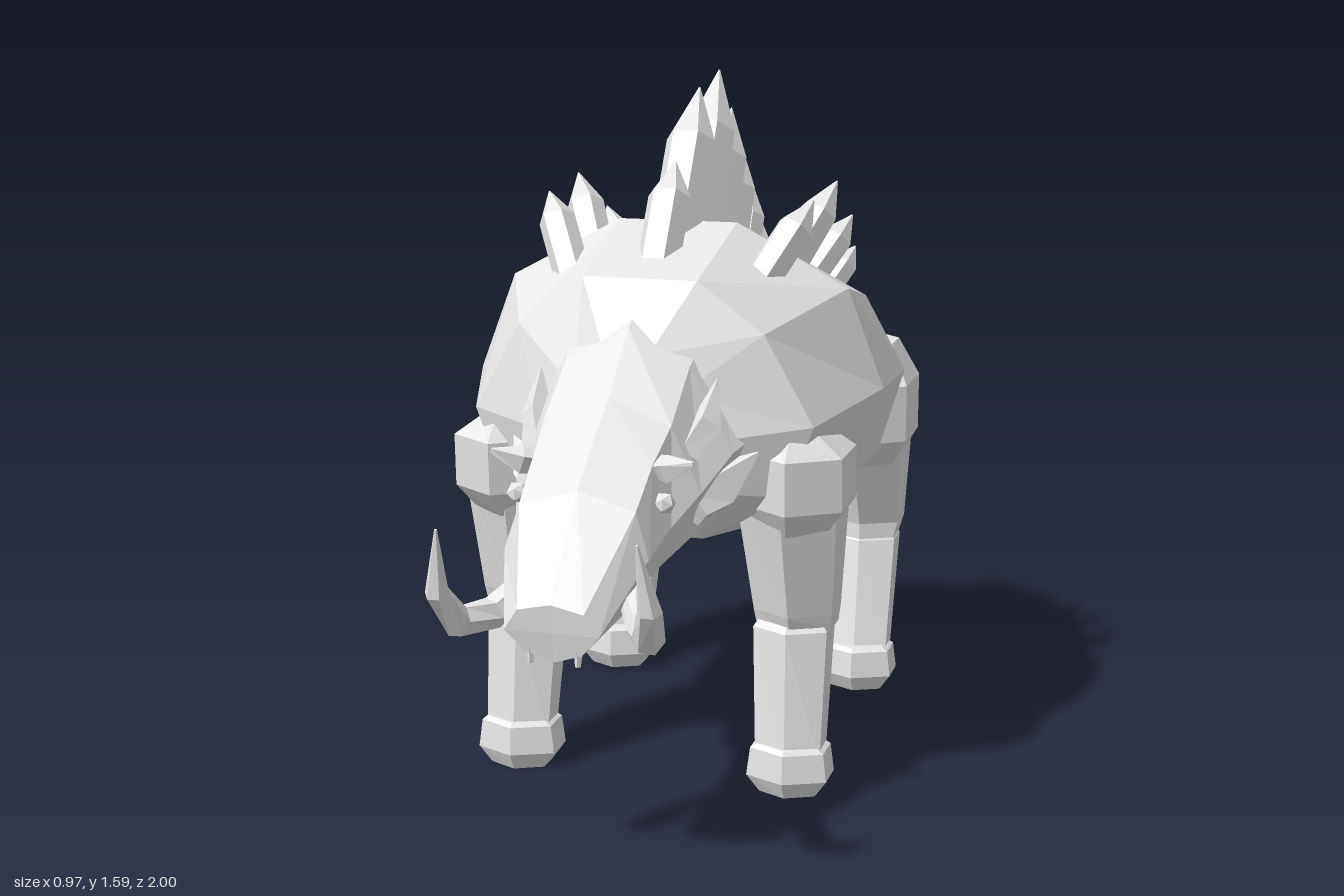
import * as THREE from 'three';

const hide = new THREE.MeshStandardMaterial({ color: 0xe7e7e7 });
hide.name = 'pale grey hide';
const V = (p) => new THREE.Vector3(...p);

// Skin a list of equal-sized rings, close both ends, flat-shade by splitting faces
function loft(name, rings) {
  const pos = [];
  const tri = (a, b, c) => pos.push(a.toArray(), b.toArray(), c.toArray());
  const n = rings[0].length;
  const mid = (r) => r.reduce((s, p) => s.add(p), new THREE.Vector3()).divideScalar(n);
  const first = rings[0], last = rings[rings.length - 1];
  const c0 = mid(first), c1 = mid(last);
  for (let j = 0; j < n; j++) {
    const k = (j + 1) % n;
    for (let i = 0; i + 1 < rings.length; i++) {
      const a = rings[i][j], b = rings[i][k], c = rings[i + 1][k], d = rings[i + 1][j];
      tri(a, b, c);
      tri(a, c, d);
    }
    tri(c0, first[k], first[j]);
    tri(c1, last[j], last[k]);
  }
  // Turn the faces outward if the enclosed volume is negative
  let volume = 0;
  for (let i = 0; i < pos.length; i += 3) {
    volume += V(pos[i]).sub(c0).dot(V(pos[i + 1]).sub(c0).cross(V(pos[i + 2]).sub(c0)));
  }
  if (volume < 0) pos.reverse();
  const g = new THREE.BufferGeometry();
  g.setAttribute('position', new THREE.Float32BufferAttribute(pos.flat(), 3));
  g.computeVertexNormals();
  const m = new THREE.Mesh(g, hide);
  m.name = name;
  return m;
}

// Complete a half ring (top to bottom, x >= 0) by mirroring it
const mirrorRing = (half) => [
  ...half.map(V),
  ...half.filter((p) => p[0] > 0).reverse().map(([x, y, z]) => V([-x, y, z])),
];

// Six-sided limb from horizontal rings: [y, centre x, centre z, half width x, half width z]
function limb(name, rows) {
  const k = 1 / Math.cos(Math.PI / 6);
  return loft(name, rows.map(([y, cx, cz, rx, rz]) =>
    Array.from({ length: 6 }, (_, i) => {
      const a = ((i + 0.5) / 6) * Math.PI * 2;
      return V([cx + Math.cos(a) * rx * k, y, cz + Math.sin(a) * rz * k]);
    })));
}

// Tapered rod along a path in a mostly front-back plane
function rod(name, path, radii, sides = 6) {
  const p = path.map(V);
  return loft(name, p.map((c, i) => {
    const dir = p[Math.min(i + 1, p.length - 1)].clone().sub(p[Math.max(i - 1, 0)]).normalize();
    const v = dir.clone().cross(V([1, 0, 0])).normalize();
    const u = v.clone().cross(dir);
    return Array.from({ length: sides }, (_, j) => {
      const a = (j / sides) * Math.PI * 2;
      return c.clone()
        .addScaledVector(u, Math.cos(a) * radii[i])
        .addScaledVector(v, Math.sin(a) * radii[i]);
    });
  }));
}

// Prism with a pointed end
function spike(name, base, tip, r) {
  const at = (t) => V(base).lerp(V(tip), t).toArray();
  return rod(name, [base, at(0.7), tip], [r, r, 0.002]);
}

export function createModel() {
  const model = new THREE.Group();
  model.name = 'boar';

  // Barrel body, ten-sided, with a recessed tail socket
  model.add(loft('body', [
    [[0.05, 1.03, 0.42], [0.12, 0.95, 0.42], [0.2, 0.85, 0.41], [0.17, 0.73, 0.4], [0.08, 0.64, 0.4]],
    [[0.13, 1.18, 0.32], [0.28, 1.07, 0.32], [0.39, 0.87, 0.31], [0.33, 0.71, 0.31], [0.14, 0.6, 0.3]],
    [[0.14, 1.27, 0.02], [0.4, 1.13, 0.02], [0.485, 0.905, 0.02], [0.41, 0.69, 0.02], [0.17, 0.56, 0.04]],
    [[0.14, 1.155, -0.38], [0.36, 1.05, -0.38], [0.46, 0.87, -0.38], [0.4, 0.665, -0.36], [0.17, 0.525, -0.25]],
    [[0.11, 1.03, -0.76], [0.26, 0.97, -0.75], [0.37, 0.82, -0.72], [0.32, 0.65, -0.68], [0.14, 0.515, -0.62]],
    [[0.05, 0.89, -0.855], [0.1, 0.86, -0.855], [0.13, 0.79, -0.84], [0.1, 0.71, -0.81], [0.05, 0.66, -0.79]],
    [[0.03, 0.85, -0.78], [0.06, 0.83, -0.78], [0.08, 0.79, -0.77], [0.06, 0.74, -0.76], [0.03, 0.71, -0.75]],
  ].map(mirrorRing)));

  // Wedge head narrowing to the snout
  model.add(loft('head', [
    [[0, 1.14, 0.3], [0.15, 1.07, 0.3], [0.28, 0.86, 0.3], [0.18, 0.66, 0.3], [0, 0.62, 0.3]],
    [[0, 1.085, 0.4], [0.14, 1.01, 0.41], [0.24, 0.83, 0.42], [0.17, 0.66, 0.42], [0, 0.62, 0.42]],
    [[0, 0.96, 0.54], [0.14, 0.91, 0.55], [0.205, 0.77, 0.55], [0.13, 0.62, 0.55], [0, 0.595, 0.55]],
    [[0, 0.885, 0.65], [0.13, 0.85, 0.65], [0.17, 0.72, 0.65], [0.11, 0.595, 0.66], [0, 0.57, 0.66]],
    [[0, 0.81, 0.75], [0.125, 0.775, 0.75], [0.155, 0.68, 0.76], [0.1, 0.56, 0.77], [0, 0.54, 0.77]],
    [[0, 0.62, 0.92], [0.07, 0.605, 0.92], [0.1, 0.56, 0.915], [0.06, 0.515, 0.905], [0, 0.495, 0.9]],
  ].map(mirrorRing)));

  // Crest of seven spikes along the spine: base y, z, tip y, z, radius
  const crest = [
    [1.16, 0.2, 1.405, 0.04, 0.05], [1.17, 0.09, 1.56, -0.16, 0.058], [1.13, -0.05, 1.59, -0.335, 0.062],
    [1.11, -0.23, 1.49, -0.45, 0.056], [1.06, -0.37, 1.385, -0.55, 0.05],
    [1.02, -0.52, 1.28, -0.66, 0.044], [0.98, -0.63, 1.18, -0.745, 0.04],
  ];
  for (const [by, bz, ty, tz, r] of crest) {
    model.add(spike('crestSpike', [0, by, bz], [0, ty, tz], r));
  }

  // Tail with a forked tuft
  model.add(rod('tail', [[0, 0.81, -0.76], [0, 0.8, -0.85], [0, 0.72, -0.91], [0, 0.63, -0.95]],
    [0.03, 0.028, 0.028, 0.02]));
  model.add(rod('tailTuft', [[0, 0.68, -0.925], [0, 0.63, -0.955], [0, 0.54, -0.91]], [0.02, 0.038, 0.003], 5));
  model.add(rod('tailTuftBarb', [[0, 0.61, -0.93], [0, 0.635, -1.0]], [0.028, 0.003], 5));

  // Paired parts, built once per side
  for (const s of [1, -1]) {
    const pts = (...list) => list.map(([x, y, z]) => [x * s, y, z]);
    const leg = (name, rows) =>
      model.add(limb(name, rows.map(([y, x, ...rest]) => [y, x * s, ...rest])));

    // Flank spikes
    for (const [bx, by, bz, tx, ty, tz, r] of [
      [0.21, 1.13, 0.14, 0.315, 1.325, 0.01, 0.043], [0.21, 1.11, -0.05, 0.32, 1.345, -0.215, 0.046],
      [0.21, 1.06, -0.28, 0.315, 1.24, -0.42, 0.042], [0.21, 1.0, -0.47, 0.29, 1.14, -0.585, 0.038],
    ]) model.add(spike('flankSpike', ...pts([bx, by, bz], [tx, ty, tz]), r));

    // Front leg
    leg('shoulder', [[0.62, 0.33, 0.2, 0.08, 0.1], [0.68, 0.34, 0.215, 0.11, 0.13],
      [0.8, 0.34, 0.22, 0.11, 0.13], [0.845, 0.34, 0.22, 0.05, 0.09]]);
    leg('frontThigh', [[0.38, 0.325, 0.16, 0.085, 0.075], [0.42, 0.325, 0.165, 0.09, 0.085],
      [0.7, 0.32, 0.2, 0.115, 0.12]]);
    leg('frontShin', [[0.08, 0.325, 0.22, 0.075, 0.055], [0.38, 0.32, 0.175, 0.085, 0.075],
      [0.42, 0.32, 0.17, 0.06, 0.05]]);
    leg('frontHoof', [[0, 0.325, 0.22, 0.065, 0.055], [0.04, 0.325, 0.22, 0.093, 0.073],
      [0.105, 0.325, 0.22, 0.085, 0.068], [0.115, 0.325, 0.22, 0.07, 0.06]]);

    // Hind leg
    leg('hip', [[0.6, 0.33, -0.57, 0.08, 0.11], [0.67, 0.34, -0.555, 0.11, 0.15],
      [0.81, 0.34, -0.555, 0.11, 0.15], [0.9, 0.345, -0.6, 0.05, 0.08]]);
    leg('hindThigh', [[0.39, 0.325, -0.61, 0.08, 0.07], [0.43, 0.325, -0.62, 0.09, 0.08],
      [0.7, 0.32, -0.57, 0.115, 0.14]]);
    leg('hindShin', [[0.08, 0.325, -0.545, 0.075, 0.055], [0.38, 0.32, -0.625, 0.085, 0.068],
      [0.42, 0.32, -0.63, 0.06, 0.05]]);
    leg('hindHoof', [[0, 0.325, -0.535, 0.065, 0.055], [0.04, 0.325, -0.535, 0.093, 0.075],
      [0.105, 0.325, -0.535, 0.085, 0.07], [0.115, 0.325, -0.535, 0.07, 0.06]]);

    // Curved tusk and small tooth
    model.add(rod('tusk', pts([0.11, 0.61, 0.74], [0.16, 0.56, 0.82], [0.2, 0.565, 0.91],
      [0.22, 0.64, 0.965], [0.205, 0.78, 1.0]), [0.03, 0.034, 0.034, 0.026, 0.003]));
    model.add(rod('tooth', pts([0.05, 0.54, 0.895], [0.05, 0.49, 0.9]), [0.012, 0.006], 4));

    // Ear, brow, cheek tuft and eye
    model.add(rod('ear', pts([0.16, 0.84, 0.52], [0.19, 0.9, 0.46], [0.2, 0.985, 0.4]), [0.03, 0.035, 0.003], 4));
    model.add(rod('brow', pts([0.11, 0.83, 0.6], [0.16, 0.84, 0.64], [0.22, 0.86, 0.66]), [0.03, 0.03, 0.006], 4));
    model.add(rod('cheekTuft', pts([0.17, 0.72, 0.5], [0.2, 0.75, 0.43], [0.28, 0.82, 0.36]), [0.04, 0.06, 0.003], 5));
    const eye = new THREE.Mesh(new THREE.IcosahedronGeometry(0.024, 0), hide);
    eye.position.set(0.16 * s, 0.775, 0.665);
    eye.name = 'eye';
    model.add(eye);
  }
  return model;
}
